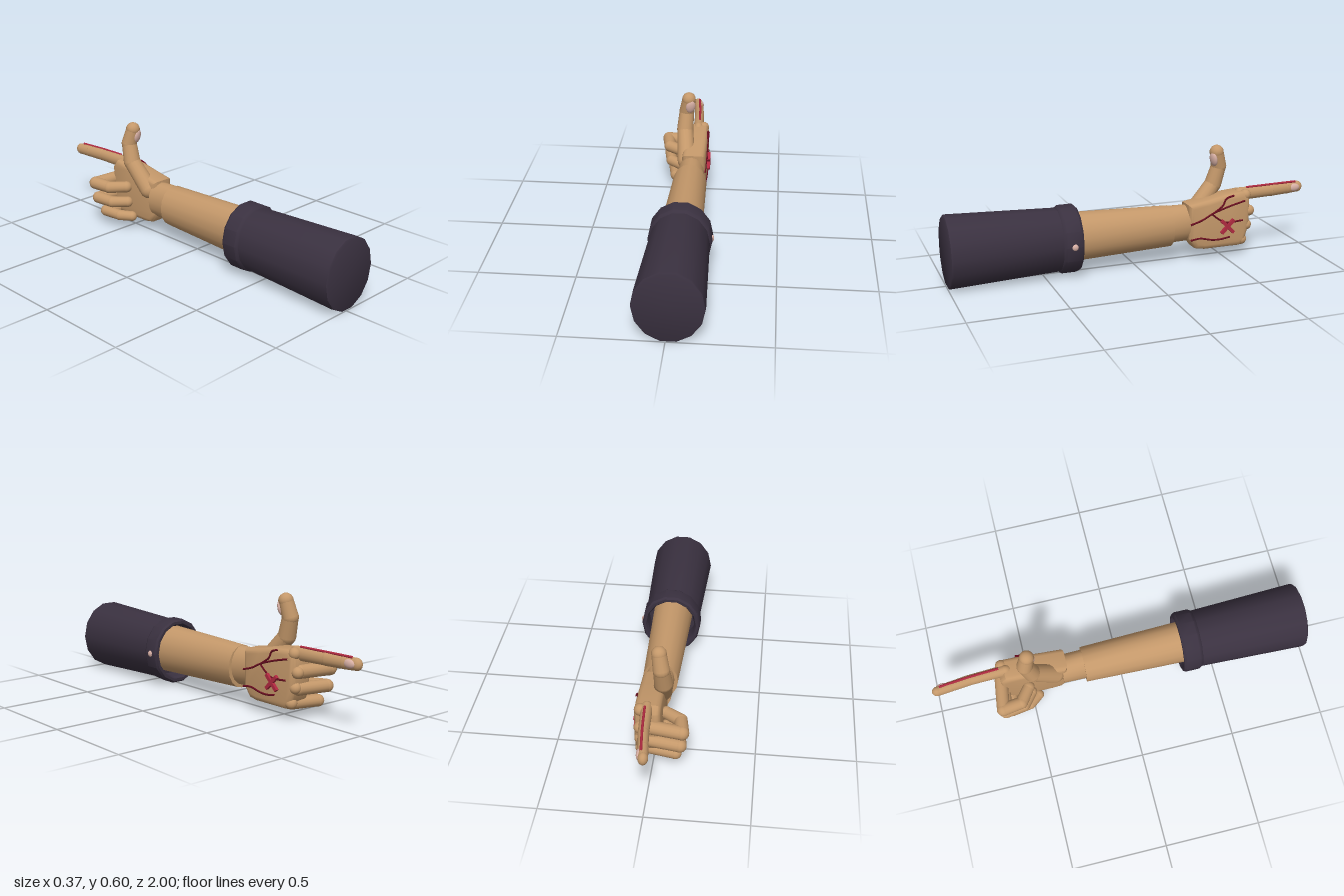
import * as THREE from 'three';
import { toCreasedNormals } from 'three/addons/utils/BufferGeometryUtils.js';

const V = (x, y, z) => new THREE.Vector3(x, y, z);

export function createModel() {
  const mat = (name, color) => {
    const m = new THREE.MeshStandardMaterial({ color });
    m.name = name;
    return m;
  };
  const skin = mat('skin', 0xc4986a);
  const cloth = mat('sleeveCloth', 0x3a3140);
  const nailPink = mat('nail', 0xd8b0a5);
  const red = mat('brightRed', 0xb02a40);
  const darkRed = mat('darkRed', 0x6b0d20);

  const model = new THREE.Group();
  const add = (name, geo, material, parent = model) => {
    const mesh = new THREE.Mesh(geo, material);
    mesh.name = name;
    parent.add(mesh);
    return mesh;
  };

  // Turned part along z with an oval section; profile is [radius, z]
  const turned = (name, profile, sides, xScale, x, y, material) => {
    const geo = new THREE.LatheGeometry(profile.map(p => new THREE.Vector2(...p)), sides, Math.PI / 2);
    geo.rotateX(Math.PI / 2).scale(xScale, 1, 1).translate(x, y, 0);
    return add(name, toCreasedNormals(geo, 0.6), material);
  };

  // Ellipsoid
  const blob = (name, pos, rx, ry, rz, material, parent = model) => {
    const mesh = add(name, new THREE.SphereGeometry(1, 16, 12), material, parent);
    mesh.position.copy(pos);
    mesh.scale.set(rx, ry, rz);
    return mesh;
  };

  // Jointed digit: tapered bones between round joints
  const digit = (name, pts, radii) => {
    const g = new THREE.Group();
    g.name = name;
    model.add(g);
    pts.forEach((p, i) => {
      blob(name + 'Joint', p, radii[i], radii[i], radii[i], skin, g);
      if (!i) return;
      const dir = p.clone().sub(pts[i - 1]);
      const bone = add(name + 'Bone',
        new THREE.CylinderGeometry(radii[i] * 0.97, radii[i - 1], dir.length(), 16), skin, g);
      bone.position.copy(p).add(pts[i - 1]).multiplyScalar(0.5);
      bone.quaternion.setFromUnitVectors(V(0, 1, 0), dir.normalize());
    });
    return g;
  };

  // Sleeve: hollow rolled cuff, then the body and closed end
  turned('sleeve', [
    [0, 0.42], [0.145, 0.42], [0.145, 0.335], [0.155, 0.32], [0.17, 0.32], [0.179, 0.332],
    [0.179, 0.408], [0.172, 0.42], [0.167, 0.424], [0.1895, 0.985], [0.188, 0.995], [0.178, 1], [0, 1],
  ], 14, 0.905, 0.013, 0.185, cloth);
  blob('cuffButton', V(0.172, 0.185, 0.37), 0.01, 0.017, 0.017, nailPink);

  // Forearm and wrist
  turned('forearm', [[0, -0.2], [0.112, -0.2], [0.134, 0.44]], 16, 0.82, 0.012, 0.192, skin);
  turned('wrist', [[0, -0.32], [0.1, -0.32], [0.103, -0.18]], 16, 0.72, 0.012, 0.2, skin);

  // Palm: side outline with rounded edges
  const outline = new THREE.Shape([
    [0.29, 0.12], [0.33, 0.065], [0.38, 0.056], [0.59, 0.056], [0.62, 0.08], [0.645, 0.17],
    [0.645, 0.32], [0.615, 0.357], [0.5, 0.348], [0.4, 0.328], [0.29, 0.31],
  ].map(p => new THREE.Vector2(...p)));
  const palm = new THREE.ExtrudeGeometry(outline, {
    depth: 0.076, bevelThickness: 0.026, bevelSize: 0.026, bevelOffset: -0.026, bevelSegments: 3,
  });
  palm.rotateY(Math.PI / 2).translate(-0.014, 0, 0);
  add('palm', toCreasedNormals(palm, 0.7), skin);

  // Thumb
  digit('thumb',
    [V(-0.02, 0.25, -0.36), V(-0.037, 0.385, -0.475), V(-0.03, 0.485, -0.504), V(-0.017, 0.567, -0.485)],
    [0.05, 0.046, 0.042, 0.038]);
  const thumbNail = blob('thumbNail', V(-0.006, 0.53, -0.463), 0.027, 0.039, 0.015, nailPink);
  thumbNail.rotation.set(0.2, 0.3, -0.12);

  // Pointing finger, slightly narrow across
  const index = digit('indexFinger',
    [V(0.035, 0.333, -0.61), V(0.025, 0.334, -0.8), V(0.011, 0.334, -0.9), V(0, 0.334, -0.968)],
    [0.036, 0.034, 0.033, 0.031]);
  index.scale.x = 0.8;
  blob('indexNail', V(0.021, 0.335, -0.94), 0.014, 0.022, 0.036, nailPink);

  // Curled fingers: y, outer bend x, bend z, radius
  [
    ['middleFinger', 0.24, -0.147, -0.664, 0.035],
    ['ringFinger', 0.153, -0.137, -0.656, 0.033],
    ['littleFinger', 0.076, -0.112, -0.622, 0.031],
  ].forEach(([name, y, x, z, r]) => digit(name,
    [V(0.035, y + 0.006, z + 0.025), V(x, y, z), V(x + 0.015, y - 0.004, z + 0.1), V(-0.055, y - 0.007, z + 0.155)],
    [r, r, r * 0.95, r * 0.9]));

  // Knuckles
  [[0.335, -0.625], [0.245, -0.648], [0.167, -0.632], [0.087, -0.606]].forEach(([y, z]) =>
    blob('knuckle', V(0.058, y, z), 0.03, 0.03, 0.031, skin));

  // Veins on the back of the hand: [z, y] paths
  [
    [[-0.295, 0.205], [-0.36, 0.225], [-0.42, 0.255], [-0.51, 0.285], [-0.61, 0.31]],
    [[-0.42, 0.252], [-0.46, 0.22], [-0.5, 0.2], [-0.6, 0.202]],
    [[-0.43, 0.26], [-0.48, 0.295], [-0.5, 0.33], [-0.545, 0.345]],
    [[-0.295, 0.118], [-0.35, 0.125], [-0.42, 0.11], [-0.47, 0.108], [-0.525, 0.116]],
  ].forEach(path => {
    const curve = new THREE.CatmullRomCurve3(path.map(([z, y]) => V(0.088, y, z)));
    add('vein', new THREE.TubeGeometry(curve, 20, 0.0055, 6), darkRed);
  });

  // Cross on the back of the hand
  [1, -1].forEach(side => {
    const bar = add('crossBar', new THREE.BoxGeometry(0.024, 0.1, 0.018), red);
    bar.position.set(0.092, 0.178, -0.508);
    bar.rotation.x = side * Math.PI / 4;
  });

  // Stripe along the top of the pointing finger
  const stripe = new THREE.CatmullRomCurve3([V(0.033, 0.367, -0.64), V(0.024, 0.367, -0.8), V(0.01, 0.365, -0.955)]);
  add('fingerStripe', new THREE.TubeGeometry(stripe, 12, 0.007, 6), red);

  return model;
}
